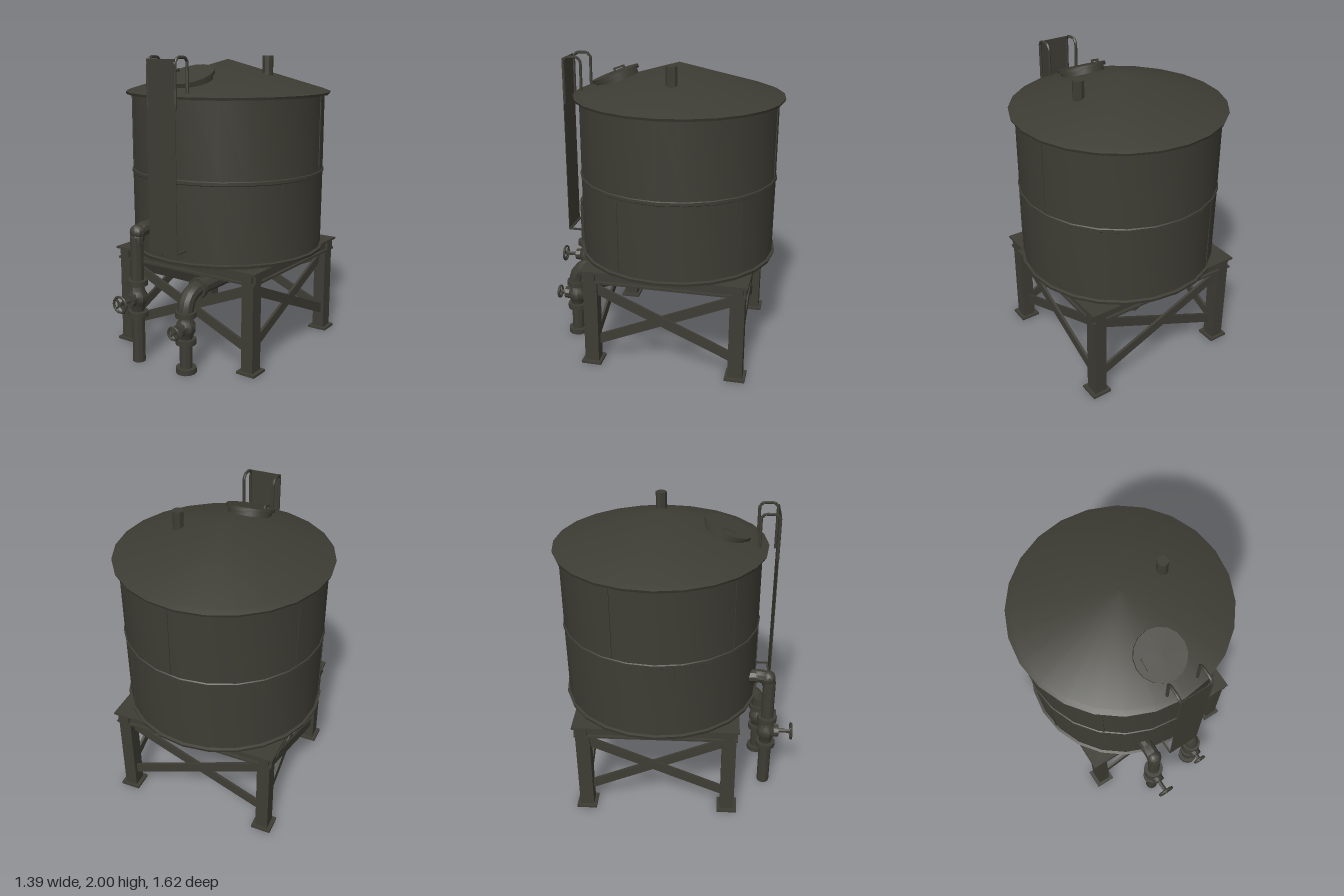
import * as THREE from 'three';
import { toCreasedNormals } from 'three/addons/utils/BufferGeometryUtils.js';

const paint = new THREE.MeshStandardMaterial({ color: 0x3d3c34, side: THREE.DoubleSide });
const TANK_Z = -0.115;
const V = (x, y, z) => new THREE.Vector3(x, y, z);

export function createModel() {
  const model = new THREE.Group();
  let parent = model;

  const group = (name) => {
    parent = new THREE.Group();
    parent.name = name;
    model.add(parent);
    return parent;
  };
  const add = (name, geo, x = 0, y = 0, z = 0) => {
    const mesh = new THREE.Mesh(toCreasedNormals(geo, 0.6), paint);
    mesh.name = name;
    mesh.position.set(x, y, z);
    parent.add(mesh);
    return mesh;
  };
  const box = (name, w, h, d, x, y, z) => add(name, new THREE.BoxGeometry(w, h, d), x, y, z);
  const lathe = (name, pts, x, y, z, sides = 24) =>
    add(name, new THREE.LatheGeometry(pts.map((p) => new THREE.Vector2(...p)), sides), x, y, z);
  // Cylinder between two points
  const rod = (name, a, b, r, sides = 10) => {
    const mesh = add(name, new THREE.CylinderGeometry(r, r, a.distanceTo(b), sides));
    mesh.position.copy(a).lerp(b, 0.5);
    mesh.quaternion.setFromUnitVectors(V(0, 1, 0), b.clone().sub(a).normalize());
    return mesh;
  };
  // Quarter-round elbow swept along a curve
  const elbow = (name, a, corner, b, r) =>
    add(name, new THREE.TubeGeometry(new THREE.QuadraticBezierCurve3(a, corner, b), 6, r, 10));

  // Tank shell, seams and roof
  group('tank');
  lathe('tankShell', [[0, 0.69], [0.665, 0.685], [0.67, 0.705], [0.652, 0.71], [0.655, 1.21],
    [0.662, 1.215], [0.662, 1.235], [0.655, 1.24], [0.655, 1.75]], 0, 0, TANK_Z);
  lathe('roof', [[0.64, 1.735], [0.688, 1.738], [0.694, 1.755], [0.66, 1.768], [0, 1.965]], 0, 0, TANK_Z);
  for (let i = 0; i < 10; i++) {
    const a = (i / 10) * Math.PI * 2 + 0.52;
    const upper = i % 2 === 0;
    const seam = box('plateSeam', 0.012, upper ? 0.49 : 0.48, 0.006,
      Math.sin(a) * 0.654, upper ? 1.49 : 0.96, TANK_Z + Math.cos(a) * 0.654);
    seam.rotation.y = a;
  }

  // Roof hatch
  const hatch = group('hatch');
  hatch.position.set(0, 1.858, 0.31);
  hatch.rotation.x = 0.36;
  add('hatchCollar', new THREE.CylinderGeometry(0.145, 0.145, 0.07, 16), 0, -0.03, 0);
  add('hatchLid', new THREE.CylinderGeometry(0.162, 0.162, 0.022, 16), 0, 0.012, 0);
  box('hatchHandle', 0.012, 0.012, 0.08, -0.11, 0.038, 0);
  for (const z of [-0.034, 0.034]) box('hatchHandlePost', 0.012, 0.02, 0.012, -0.11, 0.028, z);

  // Roof vent
  group('vent');
  add('ventPipe', new THREE.CylinderGeometry(0.037, 0.037, 0.16, 8), 0.305, 1.91, -0.13);

  // Ladder panel with bent grab rails
  group('ladder');
  box('ladderPanel', 0.22, 1.19, 0.004, 0.025, 1.385, 0.636);
  for (const x of [-0.08, 0.13]) {
    const path = new THREE.CurvePath();
    const pts = [V(x, 1.68, 0.63), V(x, 1.965, 0.63), V(x, 1.99, 0.605), V(x, 1.99, 0.535),
      V(x, 1.965, 0.512), V(x, 1.76, 0.512)];
    for (let i = 1; i < pts.length; i++) path.add(new THREE.LineCurve3(pts[i - 1], pts[i]));
    add('grabRail', new THREE.TubeGeometry(path, 40, 0.01, 6));
    box('ladderBracket', 0.012, 0.012, 0.1, x, 0.79, 0.585);
  }
  box('ladderCrossbar', 0.21, 0.012, 0.012, 0.025, 0.79, 0.63);

  // Support stand
  group('stand');
  const LX = 0.505, ZF = 0.36, ZB = -0.61, ZM = (ZF + ZB) / 2;
  for (const x of [-LX, LX]) {
    for (const z of [ZF, ZB]) {
      box('leg', 0.085, 0.6, 0.095, x, 0.3, z);
      box('foot', 0.135, 0.016, 0.135, x, 0.008, z);
    }
  }
  // I-beams along each side of the top frame
  for (const [y, w, h] of [[0.677, 0.11, 0.014], [0.641, 0.07, 0.06], [0.606, 0.11, 0.014]]) {
    const out = y > 0.65 ? 0.01 : 0;
    for (const s of [-1, 1]) {
      box('sideBeam', w, h, 1.08 + out * 2, s * (LX + out), y, ZM);
      box('endBeam', 1.12 + out * 2, h, w, 0, y, ZM + s * ((ZF - ZB) / 2 + out));
    }
  }
  // Diagonal cross braces on all four sides
  const brace = (a, b, thickX) => {
    const len = a.distanceTo(b);
    const mesh = thickX ? box('brace', 0.018, 0.065, len, 0, 0, 0) : box('brace', len, 0.065, 0.018, 0, 0, 0);
    mesh.position.copy(a).lerp(b, 0.5);
    const dir = b.clone().sub(a).normalize();
    mesh.quaternion.setFromUnitVectors(thickX ? V(0, 0, 1) : V(1, 0, 0), dir);
  };
  for (const s of [-1, 1]) {
    const [lo, hi] = s > 0 ? [0.15, 0.55] : [0.55, 0.15];
    for (const z of [ZF, ZB]) brace(V(-0.48, lo, z + s * 0.012), V(0.48, hi, z + s * 0.012), false);
    for (const x of [-LX, LX]) brace(V(x + s * 0.012, lo, ZB + 0.02), V(x + s * 0.012, hi, ZF - 0.02), true);
  }

  // Flanges, valve body and handwheel on a vertical pipe
  const flange = (x, y, z, r = 0.068) =>
    add('flange', new THREE.CylinderGeometry(r, r, 0.036, 12), x, y, z);
  const valve = (x, y, z, gap, reach, wheelR) => {
    flange(x, y + gap, z);
    flange(x, y - gap, z);
    lathe('valveBody', [[0.04, -gap], [0.048, -0.05], [0.064, -0.02], [0.064, 0.02], [0.048, 0.05], [0.04, gap]],
      x, y, z, 10);
    rod('valveBonnet', V(x, y, z), V(x, y, z + 0.085), 0.042);
    rod('valveStem', V(x, y, z + 0.08), V(x, y, z + reach), 0.015, 6);
    add('handwheel', new THREE.TorusGeometry(wheelR, 0.009, 6, 14), x, y, z + reach - 0.012);
    for (let i = 0; i < 2; i++) {
      const spoke = box('handwheelSpoke', wheelR * 2, 0.012, 0.01, x, y, z + reach - 0.012);
      spoke.rotation.z = Math.PI / 4 + (i * Math.PI) / 2;
    }
  };

  // Filling pipe into the tank side
  group('inletPipe');
  rod('inletRiser', V(-0.205, 0, 0.625), V(-0.205, 0.85, 0.625), 0.043);
  elbow('inletElbow', V(-0.205, 0.82, 0.62), V(-0.205, 0.9, 0.625), V(-0.205, 0.893, 0.53), 0.047);
  rod('inletStub', V(-0.205, 0.893, 0.54), V(-0.205, 0.893, 0.46), 0.047);
  add('inletCollar', new THREE.SphereGeometry(0.052, 10, 8), -0.205, 0.88, 0.613);
  valve(-0.205, 0.44, 0.625, 0.107, 0.185, 0.052);

  // Drain pipe running under the tank
  group('outletPipe');
  rod('outletRiser', V(0.16, 0, 0.588), V(0.16, 0.43, 0.588), 0.043);
  elbow('outletElbow', V(0.16, 0.4, 0.588), V(0.16, 0.53, 0.588), V(0.16, 0.53, 0.45), 0.052);
  rod('outletFlange', V(0.16, 0.53, 0.47), V(0.16, 0.53, 0.438), 0.07, 12);
  rod('outletRun', V(0.16, 0.53, 0.45), V(0.16, 0.53, -0.56), 0.052);
  flange(0.16, 0.018, 0.588);
  valve(0.16, 0.303, 0.588, 0.09, 0.14, 0.04);

  return model;
}
